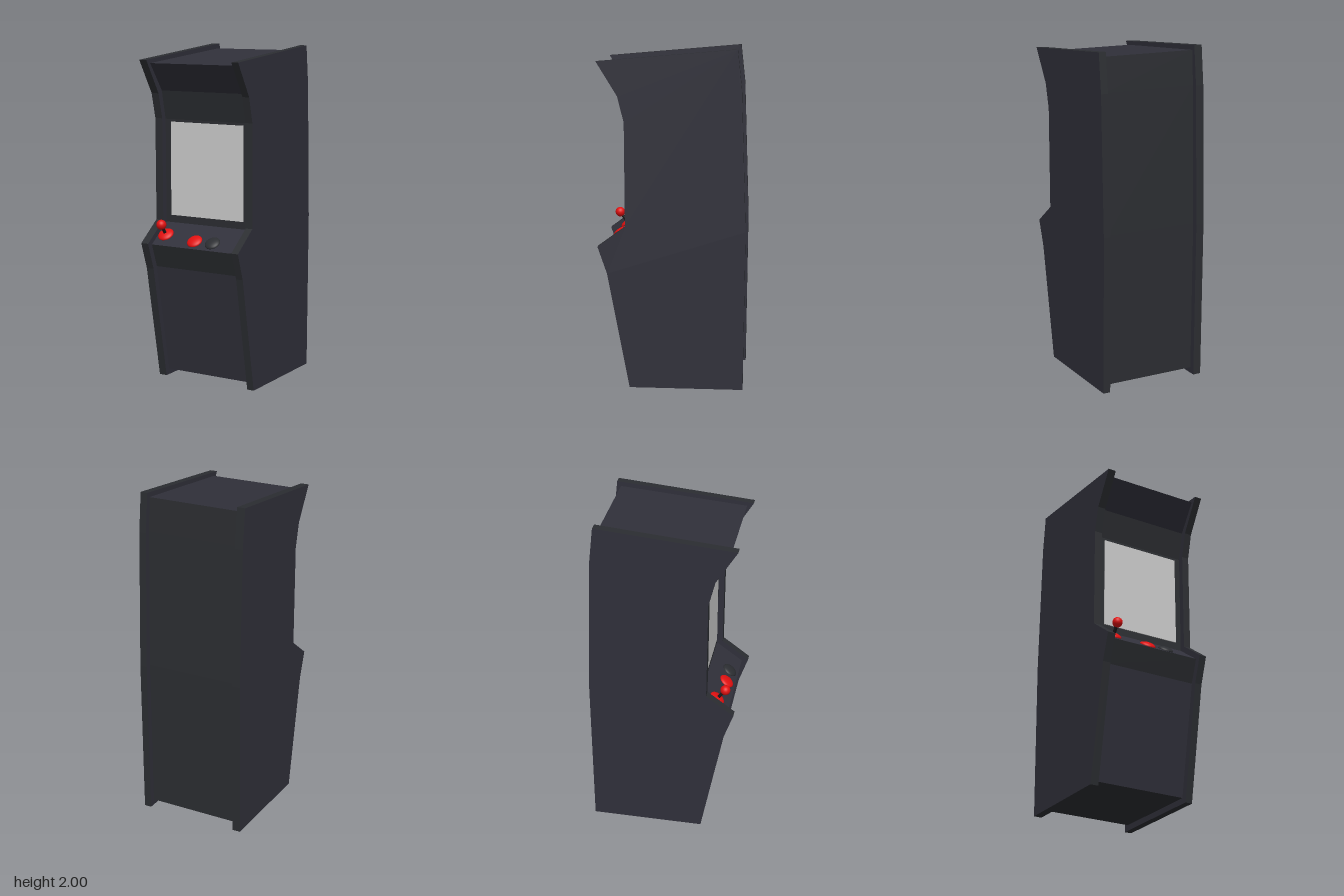
import * as THREE from 'three';

const mat = (name, color) => {
  const m = new THREE.MeshStandardMaterial({ color });
  m.name = name;
  return m;
};

export function createModel() {
  const model = new THREE.Group();
  model.name = 'arcadeCabinet';

  const navy = mat('cabinetNavy', 0x30303a);
  const trim = mat('trimCharcoal', 0x2b2d31);
  const red = mat('controlRed', 0xe01010);
  const black = mat('shaftBlack', 0x18181a);
  const grey = mat('screenGrey', 0xcacaca);

  const add = (name, geometry, material, parent = model) => {
    const mesh = new THREE.Mesh(geometry, material);
    mesh.name = name;
    parent.add(mesh);
    return mesh;
  };

  // Side panels: one outline in (z, y), extruded across x
  const outline = [
    [0.25, 0], [0.38, 0.69], [0.435, 0.85], [0.272, 0.97], [0.275, 1.58], [0.312, 1.73],
    [0.435, 1.93], [-0.377, 2], [-0.402, 1.77], [-0.43, 0.95], [-0.421, 0],
  ];
  const shape = new THREE.Shape(outline.map(([z, y]) => new THREE.Vector2(z, y)));
  const sidePanel = (name, x0, x1) => {
    const g = new THREE.ExtrudeGeometry(shape, { depth: x1 - x0, bevelEnabled: false });
    g.rotateY(-Math.PI / 2).translate(x1, 0, 0);
    add(name, g, [navy, trim]);
  };
  sidePanel('rightSidePanel', -0.333, -0.284);
  sidePanel('leftSidePanel', 0.288, 0.332);

  // Inner cabinet: one board per step of an inset profile, front up and over to the back
  const boards = [
    ['lowerFrontPanel', navy, 0.22, 0.035],
    ['deckUnderside', trim, 0.345, 0.7],
    ['controlDeck', navy, 0.395, 0.84],
    ['screenSurround', trim, 0.236, 0.955],
    ['upperSurround', trim, 0.239, 1.575],
    ['canopyUnderside', navy, 0.277, 1.745],
    ['roof', navy, 0.395, 1.91],
    ['upperBack', trim, -0.355, 1.97],
    ['middleBack', trim, -0.368, 1.77],
    ['lowerBack', trim, -0.394, 0.95],
    ['floor', trim, -0.386, 0.035],
  ];
  boards.forEach(([name, material, z0, y0], i) => {
    const [, , z1, y1] = boards[(i + 1) % boards.length];
    const l = -0.286, r = 0.29;
    const g = new THREE.BufferGeometry();
    g.setAttribute('position', new THREE.Float32BufferAttribute(
      [l, y0, z0, r, y0, z0, r, y1, z1, l, y1, z1], 3));
    g.setIndex([0, 1, 2, 0, 2, 3]);
    g.computeVertexNormals();
    add(name, g, material);
  });

  // Screen plate
  add('screen', new THREE.BoxGeometry(0.497, 0.56, 0.006), grey).position.set(0.003, 1.28, 0.239);

  // Controls, standing square to the sloping deck
  const slope = Math.atan2(0.159, 0.115);
  const control = (name, x, y) => {
    const group = new THREE.Group();
    group.name = name;
    group.position.set(x, y, 0.395 - ((y - 0.84) / 0.115) * 0.159);
    group.rotation.x = Math.PI / 2 - slope;
    model.add(group);
    return group;
  };
  const dome = (name, radius, material, parent) =>
    add(name, new THREE.SphereGeometry(radius, 24, 8, 0, Math.PI * 2, 0, Math.PI / 2)
      .scale(1, 0.4, 1), material, parent);

  const joystick = control('joystick', -0.233, 0.893);
  dome('joystickBase', 0.049, red, joystick);
  add('joystickShaft', new THREE.CylinderGeometry(0.01, 0.01, 0.08, 12), black, joystick)
    .position.y = 0.04;
  add('joystickBall', new THREE.SphereGeometry(0.03, 20, 14), red, joystick).position.y = 0.082;

  dome('redButton', 0.047, red, control('redButtonMount', -0.015, 0.876));
  dome('darkButton', 0.047, trim, control('darkButtonMount', 0.108, 0.876));

  return model;
}
